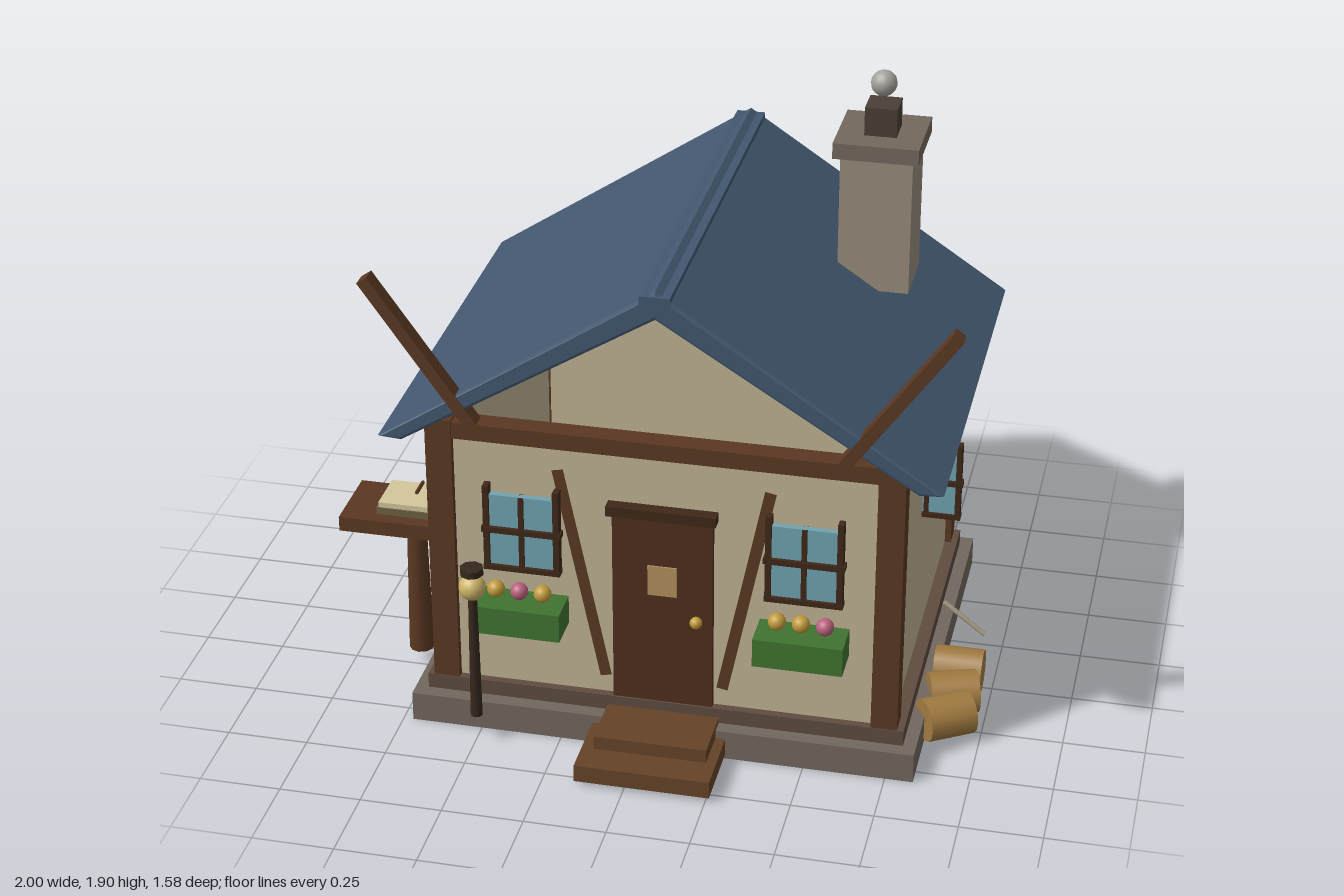
import * as THREE from 'three';

const COLORS = {
  wall: 0xbfb294, wood: 0x5a3822, darkWood: 0x3f2818, door: 0x4f2e1c, step: 0x654329, sill: 0x5f4c40,
  stone: 0x71675d, chimney: 0x988b7b, cap: 0x73685c, pot: 0x4a3f37, roof: 0x43576f, glass: 0x6fa3b0,
  green: 0x3f7330, gold: 0xc09a3a, pink: 0xb8607c, log: 0xa07a40, iron: 0x35281e, lamp: 0xcdb468,
  paper: 0xd2c69c, cover: 0x6b6040, pane: 0xb08f5c, smoke: 0xa5a19c, stick: 0xaaa088,
};
const materials = {};
const mat = (c) => (materials[c] ??= new THREE.MeshStandardMaterial({ color: COLORS[c] }));

export function createModel() {
  const house = new THREE.Group();
  house.name = 'cottage';

  const add = (name, geo, color, x, y, z, parent = house) => {
    const m = new THREE.Mesh(geo, mat(color));
    m.name = name;
    m.position.set(x, y, z);
    parent.add(m);
    return m;
  };
  // Box given by its extents on each axis
  const box = (name, color, [x0, x1], [y0, y1], [z0, z1], parent) =>
    add(name, new THREE.BoxGeometry(x1 - x0, y1 - y0, z1 - z0), color,
      (x0 + x1) / 2, (y0 + y1) / 2, (z0 + z1) / 2, parent);
  const ball = (name, color, r, x, y, z) =>
    add(name, new THREE.SphereGeometry(r, 16, 12), color, x, y, z);
  const rod = (name, color, r0, r1, h, x, y, z, sides = 10) =>
    add(name, new THREE.CylinderGeometry(r0, r1, h, sides), color, x, y, z);

  const MID = 0.057; // centre line of the house

  // Base
  box('foundation', 'stone', [-0.72, 0.835], [0, 0.095], [-0.745, 0.555]);
  box('sill', 'sill', [-0.68, 0.795], [0.095, 0.145], [-0.705, 0.51]);

  // Hollow walls, open at the gables
  box('frontWall', 'wall', [-0.64, 0.755], [0.14, 0.99], [0.43, 0.485]);
  box('backWall', 'wall', [-0.64, 0.755], [0.14, 0.99], [-0.68, -0.625]);
  box('rightWall', 'wall', [-0.64, -0.585], [0.14, 0.99], [-0.63, 0.435]);
  box('leftWall', 'wall', [0.7, 0.755], [0.14, 0.99], [-0.63, 0.435]);

  // Corner posts and top beams
  for (const x of [[-0.66, -0.58], [0.695, 0.775]]) {
    for (const z of [[-0.7, -0.62], [0.43, 0.508]]) box('cornerPost', 'wood', x, [0.1, 1.035], z);
    box('sideBeam', 'wood', x, [0.975, 1.025], [-0.63, 0.44]);
  }
  for (const z of [[-0.695, -0.625], [0.435, 0.502]]) box('endBeam', 'wood', [-0.6, 0.715], [0.975, 1.028], z);

  // Slanted braces lying flush in the front wall
  for (const s of [-1, 1]) {
    const brace = add('wallBrace', new THREE.BoxGeometry(0.035, 0.71, 0.03), 'wood', MID + s * 0.25, 0.55, 0.471);
    brace.rotation.z = -s * 0.2;
  }

  // Roof: bevelled chevron run from back to front
  const chevron = new THREE.Shape([
    [-0.765, 1.01], [MID, 1.55], [0.88, 1.01], [0.825, 1.01], [MID, 1.485], [-0.71, 1.01],
  ].map(([x, y]) => new THREE.Vector2(x, y)));
  add('roof', new THREE.ExtrudeGeometry(chevron, {
    depth: 1.356, bevelThickness: 0.01, bevelSize: 0.01, bevelSegments: 2,
  }), 'roof', 0, 0, -0.776);
  box('ridgeCap', 'roof', [0.012, 0.102], [1.505, 1.549], [-0.78, 0.595]);

  // Gable boards standing up from the front eaves
  for (const s of [-1, 1]) {
    const board = add('gableBoard', new THREE.BoxGeometry(0.037, 0.54, 0.05), 'wood', MID + s * 0.703, 1.29, 0.568);
    board.rotation.z = -s * 0.615;
  }

  // Chimney
  box('chimney', 'chimney', [0.435, 0.655], [1.225, 1.66], [-0.455, -0.24]);
  box('chimneyCap', 'cap', [0.415, 0.675], [1.66, 1.71], [-0.48, -0.215]);
  box('chimneyPot', 'pot', [0.497, 0.595], [1.71, 1.8], [-0.395, -0.295]);
  ball('smokeBall', 'smoke', 0.04, 0.545, 1.863, -0.345);

  // Door
  box('door', 'door', [-0.095, 0.21], [0.14, 0.79], [0.46, 0.505]);
  box('doorLintel', 'darkWood', [-0.11, 0.222], [0.783, 0.815], [0.46, 0.525]);
  box('doorPane', 'pane', [0.013, 0.102], [0.52, 0.62], [0.5, 0.51]);
  ball('doorKnob', 'gold', 0.019, 0.163, 0.447, 0.52);
  box('lowerStep', 'step', [-0.15, 0.262], [0.015, 0.07], [0.5, 0.79]);
  box('upperStep', 'step', [-0.113, 0.232], [0.07, 0.113], [0.49, 0.69]);

  // Windows: glass with upright and cross bars
  const addWindow = (x, y, z, scale) => {
    const w = new THREE.Group();
    w.name = 'window';
    box('glass', 'glass', [-0.108, 0.108], [-0.13, 0.115], [-0.012, 0.008], w);
    for (const bx of [-0.107, 0.107]) box('windowSide', 'darkWood', [bx - 0.009, bx + 0.009], [-0.137, 0.147], [-0.015, 0.018], w);
    box('middleBar', 'darkWood', [-0.008, 0.008], [-0.13, 0.115], [-0.013, 0.016], w);
    box('crossBar', 'darkWood', [-0.122, 0.122], [-0.009, 0.009], [-0.014, 0.02], w);
    box('windowLedge', 'darkWood', [-0.118, 0.118], [-0.137, -0.121], [-0.014, 0.02], w);
    w.position.set(x, y, z);
    w.scale.setScalar(scale);
    house.add(w);
  };
  addWindow(-0.371, 0.687, 0.5, 1);
  addWindow(0.484, 0.687, 0.5, 1);
  addWindow(0.767, 0.713, -0.022, 0.9); // set crosswise through the side wall

  // Flower boxes
  const flowers = [[-0.371, ['gold', 'pink', 'gold']], [0.485, ['gold', 'gold', 'pink']]];
  for (const [x, colors] of flowers) {
    box('flowerBox', 'green', [x - 0.135, x + 0.135], [0.375, 0.467], [0.48, 0.605]);
    colors.forEach((c, i) => ball('flower', c, 0.027, x + (i - 1) * 0.072, 0.505, 0.55));
  }

  // Lamp post
  rod('lampPost', 'iron', 0.014, 0.019, 0.42, -0.492, 0.312, 0.633, 8);
  ball('lampGlobe', 'lamp', 0.041, -0.492, 0.553, 0.633);
  rod('lampCap', 'iron', 0.036, 0.036, 0.022, -0.492, 0.61, 0.633, 8);

  // Side table with open book and pen
  rod('tableLeg', 'wood', 0.03, 0.039, 0.465, -0.788, 0.287, 0.228, 10);
  box('tableTop', 'wood', [-1, -0.655], [0.517, 0.565], [0.11, 0.345]);
  box('bookCover', 'cover', [-0.892, -0.69], [0.565, 0.588], [0.15, 0.302]);
  box('bookPages', 'paper', [-0.886, -0.696], [0.588, 0.605], [0.154, 0.298]);
  const pen = rod('pen', 'wood', 0.006, 0.006, 0.07, -0.785, 0.61, 0.19, 6);
  pen.rotation.x = Math.PI / 2;

  // Fanned logs and a loose stick
  [[0.027, 0], [0.165, 0.32], [0.3, 0.56]].forEach(([z, turn]) => {
    const log = rod('log', 'log', 0.067, 0.067, 0.15, 0.897, 0.08, z, 14);
    log.rotation.set(0, turn, Math.PI / 2);
  });
  const stick = rod('stick', 'stick', 0.008, 0.008, 0.165, 0.905, 0.254, 0.012, 8);
  stick.rotation.z = 0.915;

  return house;
}
